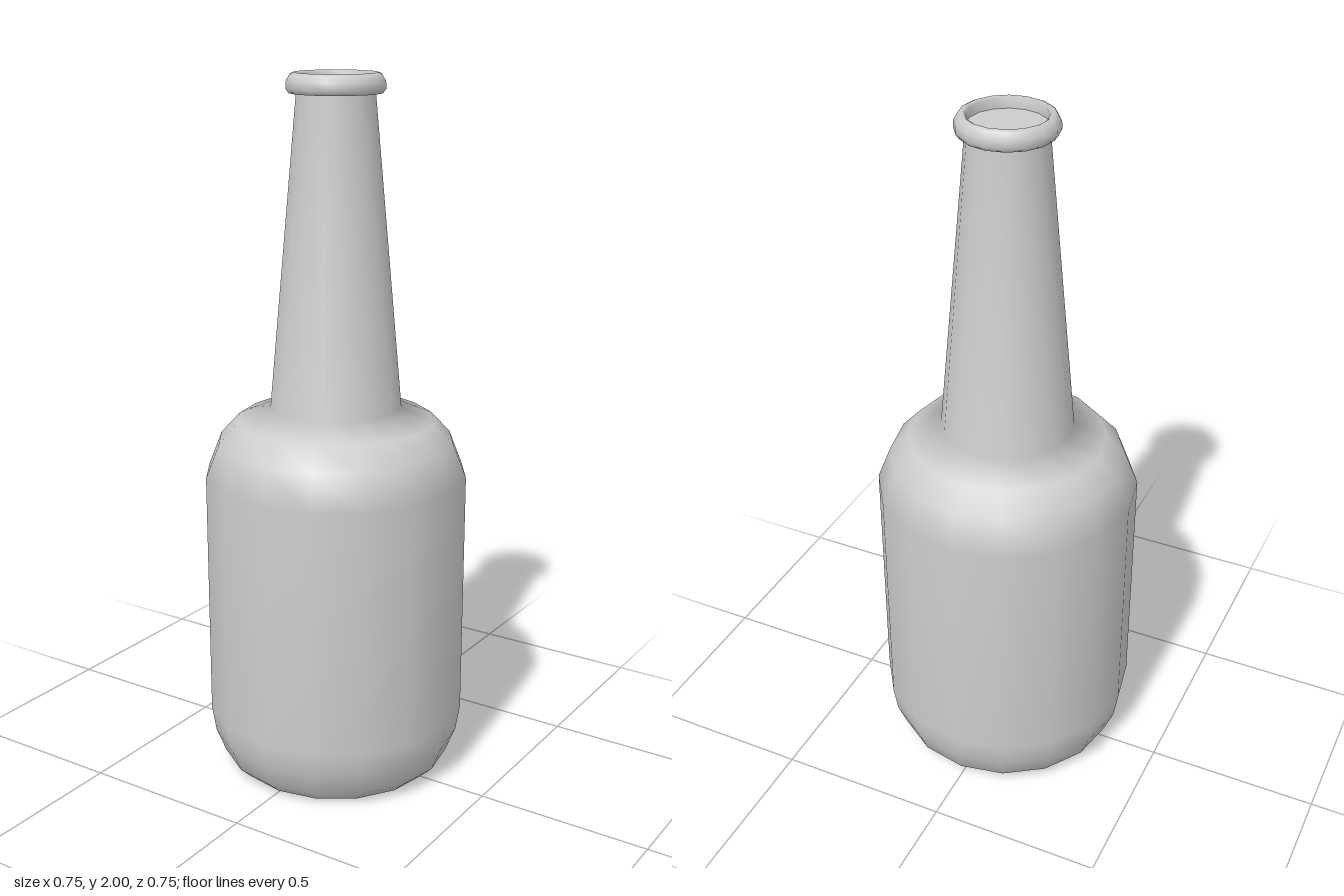
import * as THREE from 'three';

const SIDES = 16;
const material = new THREE.MeshStandardMaterial({ color: 0xcccccc });

// Turns a list of [radius, height] points, listed upward along the outside
function turned(name, points) {
  const profile = points.map(([r, y]) => new THREE.Vector2(r, y));
  const mesh = new THREE.Mesh(new THREE.LatheGeometry(profile, SIDES), material);
  mesh.name = name;
  return mesh;
}

export function createModel() {
  const bottle = new THREE.Group();
  bottle.name = 'bottle';

  // Flat base, rounded lower edge, straight wall, shoulder and tapered neck
  bottle.add(turned('bodyAndNeck', [
    [0, 0], [0.24, 0], [0.3, 0.004], [0.333, 0.035], [0.361, 0.105], [0.373, 0.18],
    [0.373, 0.89], [0.335, 0.987], [0.28, 1.047], [0.187, 1.087], [0.108, 1.95],
  ]));

  // Rounded lip around the mouth, with its inner wall
  bottle.add(turned('lip', [
    [0.106, 1.946], [0.127, 1.946], [0.136, 1.958], [0.135, 1.978],
    [0.125, 1.995], [0.114, 2], [0.105, 1.994], [0.105, 1.965],
  ]));

  // Closed surface just inside the mouth
  const mouth = new THREE.Mesh(new THREE.CircleGeometry(0.107, SIDES), material);
  mouth.name = 'mouth';
  mouth.rotation.x = -Math.PI / 2;
  mouth.position.y = 1.968;
  bottle.add(mouth);

  return bottle;
}
